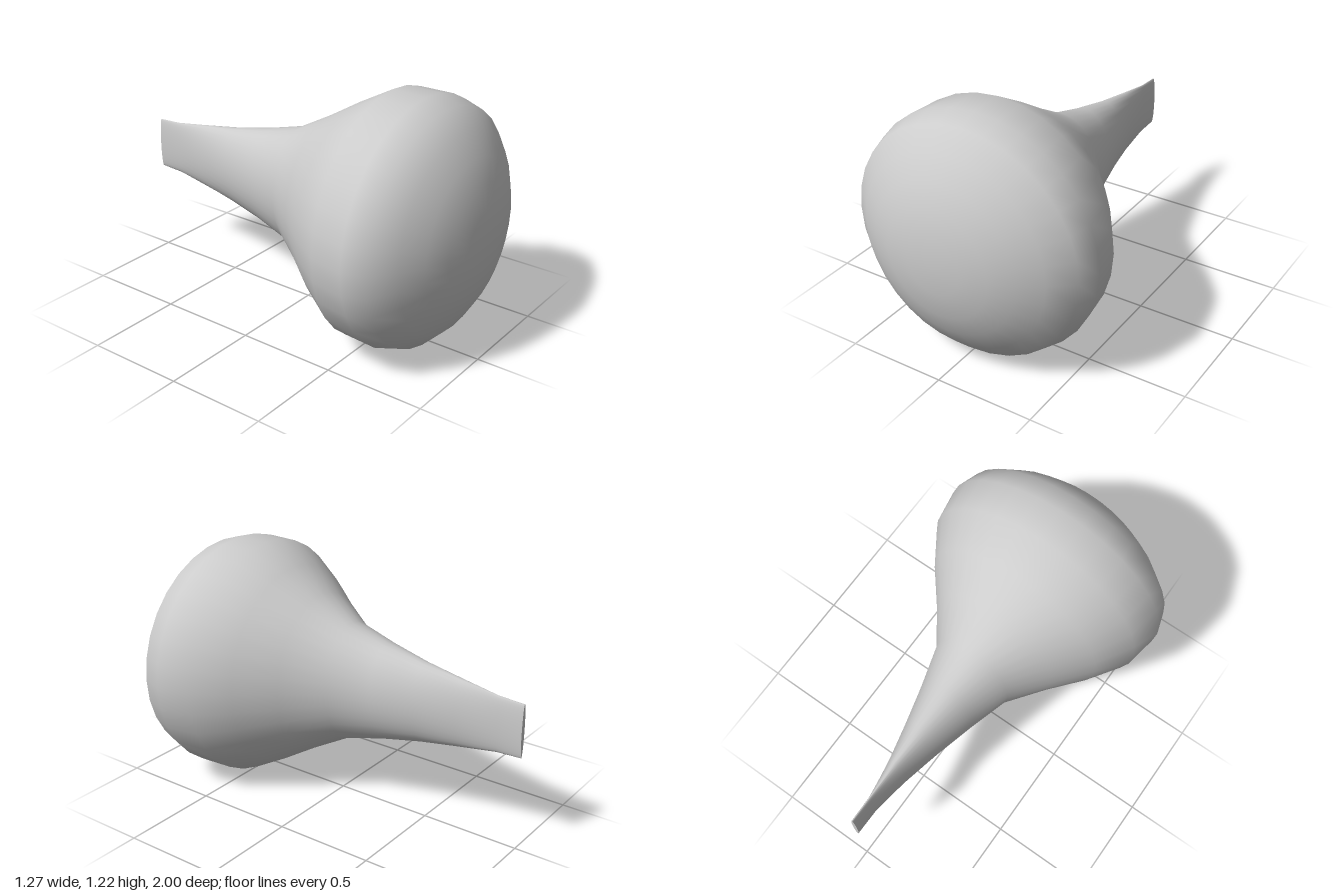
import * as THREE from 'three';

const SIDES = 32;
const CENTRE_Y = 0.614;

// Elliptical cross-sections from front to back: [z, half width, half height]
const SECTIONS = [
  [0.993, 0.14, 0.14],
  [0.968, 0.27, 0.27],
  [0.92, 0.38, 0.38],
  [0.855, 0.49, 0.485],
  [0.765, 0.6, 0.575],
  [0.655, 0.635, 0.608],
  [0.48, 0.604, 0.611],
  [0.305, 0.49, 0.514],
  [0.135, 0.352, 0.41],
  [-0.055, 0.215, 0.305],
  [-0.26, 0.155, 0.25],
  [-0.47, 0.1, 0.206],
  [-0.67, 0.052, 0.174],
  [-0.87, 0.014, 0.142],
  [-1, 0.013, 0.135],
];

// Closed skin through the sections, starting from a point at the front
function loft(sections, frontZ) {
  const points = [0, 0, frontZ];
  const faces = [];
  const at = (ring, i) => 1 + ring * SIDES + (i % SIDES);
  sections.forEach(([z, rx, ry], ring) => {
    for (let i = 0; i < SIDES; i++) {
      const a = (i / SIDES) * Math.PI * 2;
      points.push(rx * Math.cos(a), ry * Math.sin(a), z);
      if (ring === 0) {
        faces.push(0, at(0, i), at(0, i + 1));
      } else {
        const a0 = at(ring - 1, i), a1 = at(ring - 1, i + 1);
        const b0 = at(ring, i), b1 = at(ring, i + 1);
        faces.push(a0, b0, a1, a1, b0, b1);
      }
    }
  });
  const geometry = new THREE.BufferGeometry();
  geometry.setAttribute('position', new THREE.Float32BufferAttribute(points, 3));
  geometry.setIndex(faces);
  geometry.computeVertexNormals();
  return geometry;
}

export function createModel() {
  const group = new THREE.Group();
  group.name = 'bulb';
  const material = new THREE.MeshStandardMaterial({ color: 0xcccccc });

  // Round head flowing into a flattened tail
  const body = new THREE.Mesh(loft(SECTIONS, 1), material);
  body.name = 'body';
  body.position.y = CENTRE_Y;
  group.add(body);

  // Flat oval closing the tail
  const [z, rx, ry] = SECTIONS[SECTIONS.length - 1];
  const cap = new THREE.Mesh(new THREE.CircleGeometry(1, SIDES), material);
  cap.name = 'tailCap';
  cap.scale.set(rx, ry, 1);
  cap.rotation.y = Math.PI;
  cap.position.set(0, CENTRE_Y, z);
  group.add(cap);

  return group;
}
